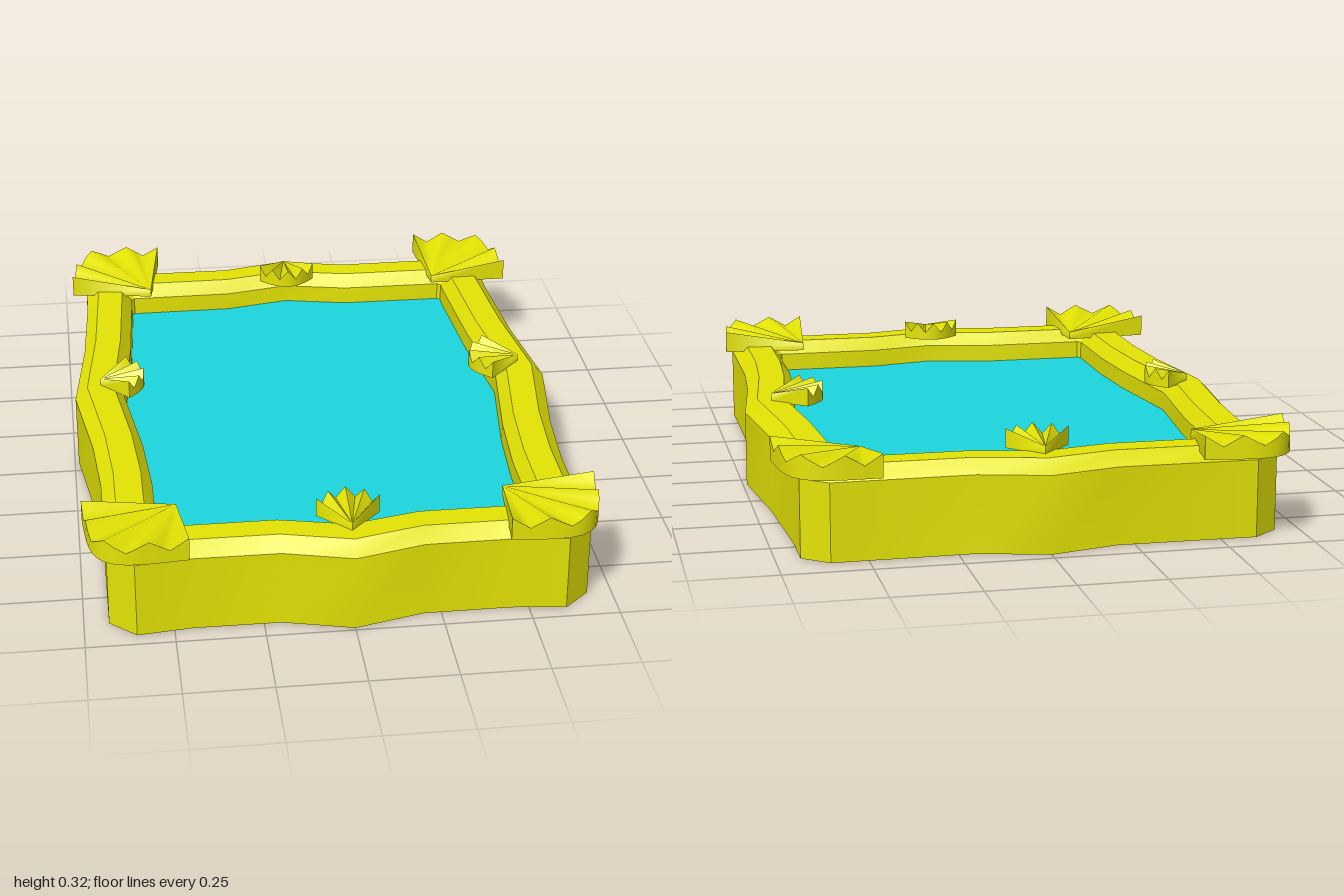
import * as THREE from 'three';
import { toCreasedNormals } from 'three/addons/utils/BufferGeometryUtils.js';

const gold = new THREE.MeshStandardMaterial({ color: 0xe4e404 });
const blue = new THREE.MeshStandardMaterial({ color: 0x1cd6de });

// Right half of the plan, front to back: outer x, z and inner x, z
const half = [
  [0, 0.99, 0, 0.835], [0.2, 0.938, 0.2, 0.79], [0.45, 0.937, 0.45, 0.79],
  [0.605, 0.955, 0.52, 0.79], [0.68, 0.885, 0.53, 0.78], [0.68, 0.5, 0.53, 0.5],
  [0.695, 0.27, 0.545, 0.27], [0.738, -0.05, 0.585, -0.05], [0.7, -0.38, 0.55, -0.38],
  [0.68, -0.72, 0.53, -0.72], [0.68, -0.86, 0.53, -0.76], [0.605, -0.92, 0.52, -0.77],
  [0.2, -0.917, 0.2, -0.772], [0, -0.968, 0, -0.815],
];
const plan = [
  ...half,
  ...half.slice(1, -1).reverse().map(([a, b, c, d]) => [-a, b, -c, d]),
];

// Ring of points at fraction t between the outer and inner plan lines
const ring = (t, y) => plan.map(([ox, oz, ix, iz]) =>
  [ox + (ix - ox) * t, y, oz + (iz - oz) * t]);

// Band of triangles between two closed rings
function band(out, a, b) {
  a.forEach((p, i) => {
    const j = (i + 1) % a.length;
    out.push(p, a[j], b[j], p, b[j], b[i]);
  });
}

// Triangles from a centre point to a closed ring
function fan(out, centre, points, up) {
  points.forEach((p, i) => {
    const q = points[(i + 1) % points.length];
    out.push(centre, ...(up ? [p, q] : [q, p]));
  });
}

function toMesh(name, points, material, crease) {
  const geometry = new THREE.BufferGeometry();
  geometry.setAttribute('position', new THREE.Float32BufferAttribute(points.flat(), 3));
  const mesh = new THREE.Mesh(toCreasedNormals(geometry, crease), material);
  mesh.name = name;
  return mesh;
}

// Pleated shell: a fan from its apex to a scalloped rim between two end points
function shell(name, apex, endA, endB, base, squareness) {
  let u = [endA[0] - apex[0], endA[1] - apex[1]];
  let v = [endB[0] - apex[0], endB[1] - apex[1]];
  if (u[1] * v[0] - u[0] * v[1] < 0) [u, v] = [v, u];
  const low = [[apex[0], base, apex[1]]];
  const high = [[apex[0], base + 0.025, apex[1]]];
  const segments = 16;
  for (let i = 0; i <= segments; i++) {
    const angle = (i / segments) * Math.PI / 2;
    const c = Math.cos(angle), s = Math.sin(angle);
    const r = 1 / Math.pow(Math.pow(c, squareness) + Math.pow(s, squareness), 1 / squareness);
    const x = apex[0] + r * (c * u[0] + s * v[0]);
    const z = apex[1] + r * (c * u[1] + s * v[1]);
    low.push([x, base, z]);
    high.push([x, 0.302 + 0.016 * Math.cos(i * Math.PI / 2), z]);
  }
  const points = [];
  band(points, low, high);
  for (let i = 1; i < low.length - 1; i++) {
    points.push(high[0], high[i], high[i + 1], low[0], low[i + 1], low[i]);
  }
  return toMesh(name, points, gold, 1.15);
}

export function createModel() {
  const model = new THREE.Group();
  model.name = 'framedPanel';

  // Solid frame with bevelled top edges and a closed underside
  const panelHeight = 0.17;
  const rings = [ring(0, 0), ring(0, 0.225), ring(0.25, 0.265), ring(0.78, 0.265),
    ring(0.99, 0.225), ring(1, panelHeight)];
  const frame = [];
  fan(frame, [0, 0, 0], rings[0], false);
  for (let i = 1; i < rings.length; i++) band(frame, rings[i - 1], rings[i]);
  model.add(toMesh('frame', frame, gold, Math.PI / 6));

  // Recessed panel
  const panel = [];
  fan(panel, [0, panelHeight, 0], ring(1, panelHeight), true);
  model.add(toMesh('panel', panel, blue, Math.PI / 6));

  // Corner shells: apex and two rim ends as x, z
  [
    ['backLeftCornerShell', [0.492, -0.73], [0.47, -0.993], [0.743, -0.735]],
    ['backRightCornerShell', [-0.465, -0.73], [-0.427, -0.985], [-0.725, -0.768]],
    ['frontRightCornerShell', [-0.475, 0.72], [-0.74, 0.745], [-0.455, 0.983]],
    ['frontLeftCornerShell', [0.455, 0.725], [0.714, 0.748], [0.432, 0.983]],
  ].forEach(([name, apex, a, b]) => model.add(shell(name, apex, a, b, 0.25, 4.5)));

  // Small shells in the middle of each side, opening inwards
  [
    ['backShell', [0, -0.885], [-0.09, -0.785], [0.09, -0.785]],
    ['frontShell', [0, 0.905], [-0.09, 0.808], [0.09, 0.808]],
    ['rightShell', [-0.658, -0.06], [-0.573, -0.147], [-0.573, 0.03]],
    ['leftShell', [0.66, -0.075], [0.56, -0.165], [0.56, 0.03]],
  ].forEach(([name, apex, a, b]) => model.add(shell(name, apex, a, b, 0.262, 3)));

  return model;
}
